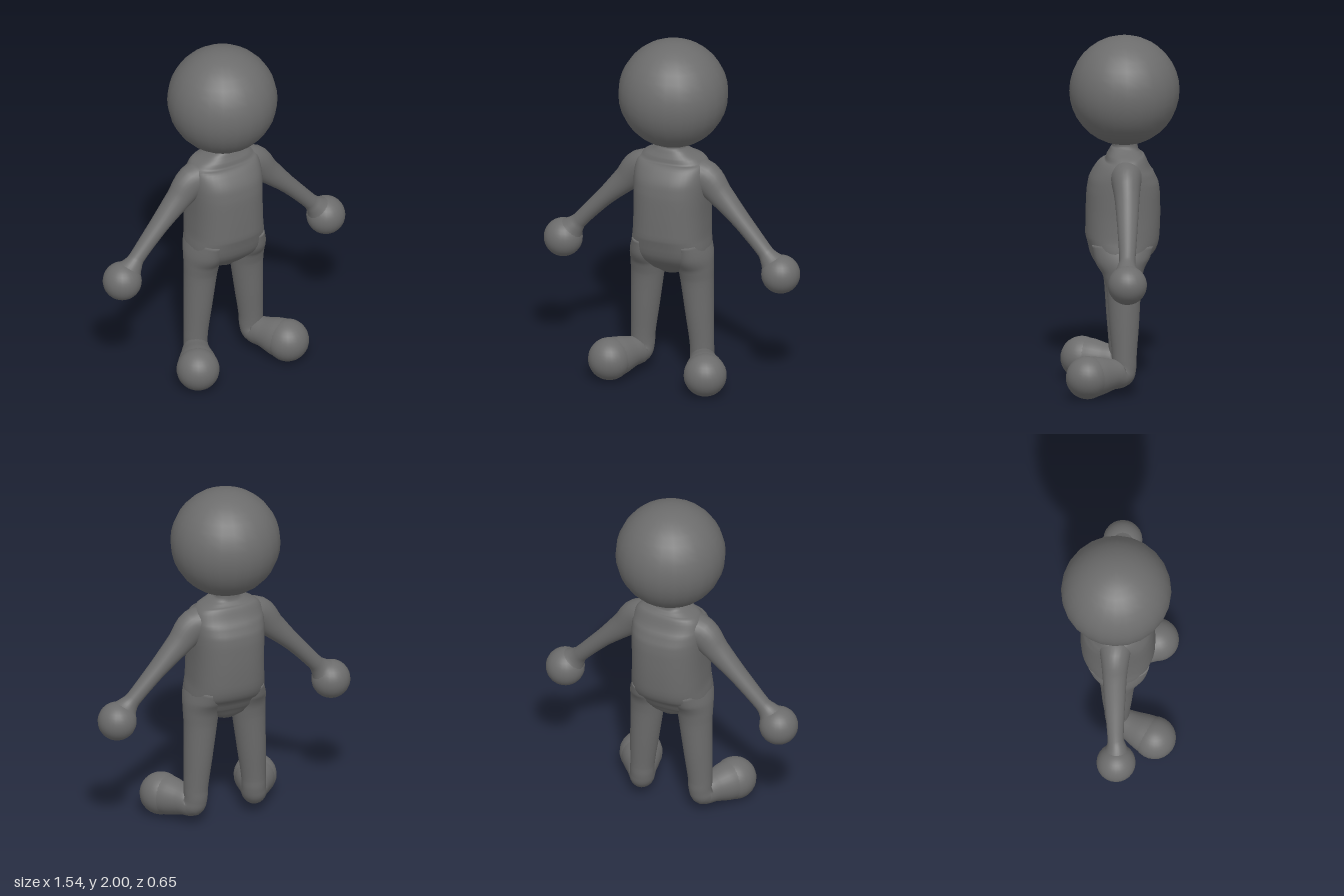
import * as THREE from 'three';

const material = new THREE.MeshStandardMaterial({ color: 0x6c6c6c });

// Smooth skin swept through rows of [x, y, z, radius along ref, radius across].
function sweep(name, rows, ref, { power = 2, steps = 4, sides = 28 } = {}) {
  const path = new THREE.CatmullRomCurve3(rows.map(r => new THREE.Vector3(r[0], r[1], r[2])));
  const size = new THREE.CatmullRomCurve3(rows.map(r => new THREE.Vector3(r[3], r[4], 0)));
  const n = (rows.length - 1) * steps;
  const pos = [], idx = [];
  for (let i = 0; i <= n; i++) {
    const c = path.getPoint(i / n), t = path.getTangent(i / n), s = size.getPoint(i / n);
    const u = ref.clone().addScaledVector(t, -ref.dot(t)).normalize();
    const v = new THREE.Vector3().crossVectors(t, u);
    for (let j = 0; j < sides; j++) {
      const a = j / sides * Math.PI * 2;
      const round = w => Math.sign(w) * Math.pow(Math.abs(w), 2 / power);
      const p = c.clone().addScaledVector(u, round(Math.cos(a)) * s.x)
        .addScaledVector(v, round(Math.sin(a)) * s.y);
      pos.push(p.x, p.y, p.z);
      if (i < n) {
        const k = i * sides + j, l = i * sides + (j + 1) % sides;
        idx.push(k, l, l + sides, k, l + sides, k + sides);
      }
    }
  }
  // end caps
  for (const [ring, flip] of [[0, true], [n, false]]) {
    const c = path.getPoint(ring / n), m = pos.length / 3;
    pos.push(c.x, c.y, c.z);
    for (let j = 0; j < sides; j++) {
      const k = ring * sides + j, l = ring * sides + (j + 1) % sides;
      if (flip) idx.push(m, l, k); else idx.push(m, k, l);
    }
  }
  const g = new THREE.BufferGeometry();
  g.setAttribute('position', new THREE.Float32BufferAttribute(pos, 3));
  g.setIndex(idx);
  g.computeVertexNormals();
  const mesh = new THREE.Mesh(g, material);
  mesh.name = name;
  return mesh;
}

function ball(name, r, x, y, z) {
  const mesh = new THREE.Mesh(new THREE.SphereGeometry(r, 24, 18), material);
  mesh.name = name;
  mesh.position.set(x, y, z);
  return mesh;
}

export function createModel() {
  const model = new THREE.Group();
  model.name = 'figure';
  const X = new THREE.Vector3(1, 0, 0), Z = new THREE.Vector3(0, 0, 1);

  model.add(ball('head', 0.307, 0, 1.693, -0.018));

  // torso and neck: [y, half width, front z, back z]
  const torso = [
    [0.635, 0.05, 0.05, -0.06], [0.665, 0.13, 0.08, -0.09], [0.71, 0.195, 0.12, -0.125],
    [0.78, 0.223, 0.175, -0.17], [0.87, 0.212, 0.2, -0.21], [1.0, 0.208, 0.198, -0.217],
    [1.12, 0.21, 0.193, -0.215], [1.19, 0.212, 0.18, -0.206], [1.25, 0.212, 0.145, -0.18],
    [1.3, 0.2, 0.1, -0.143], [1.33, 0.165, 0.082, -0.12], [1.355, 0.11, 0.065, -0.103],
    [1.38, 0.072, 0.05, -0.092], [1.42, 0.072, 0.05, -0.09],
  ].map(([y, w, f, b]) => [0, y, (f + b) / 2, w, (f - b) / 2]);
  model.add(sweep('torso', torso, X, { power: 2.5, sides: 40 }));

  for (const s of [1, -1]) {
    const side = s > 0 ? 'left' : 'right';
    const mirror = rows => rows.map(([x, ...rest]) => [s * x, ...rest]);

    // arm flaring into the hand
    model.add(sweep(side + 'Arm', mirror([
      [0.08, 1.245, -0.02, 0.12, 0.075], [0.195, 1.215, -0.018, 0.085, 0.097],
      [0.285, 1.127, -0.018, 0.069, 0.073], [0.42, 0.99, -0.013, 0.056, 0.05],
      [0.56, 0.837, -0.005, 0.045, 0.044], [0.595, 0.796, 0, 0.057, 0.06],
      [0.625, 0.76, 0, 0.084, 0.086], [0.655, 0.725, 0, 0.1, 0.1],
    ]), Z));
    model.add(ball(side + 'Hand', 0.109, s * 0.659, 0.718, 0));

    // leg from the hip, bending at the heel into a foot turned outwards
    model.add(sweep(side + 'Leg', mirror([
      [0.135, 0.84, 0, 0.075, 0.17], [0.139, 0.76, 0.002, 0.095, 0.152], [0.144, 0.69, -0.002, 0.098, 0.115],
      [0.149, 0.61, -0.006, 0.093, 0.097], [0.165, 0.4, -0.008, 0.08, 0.083],
      [0.178, 0.22, -0.008, 0.068, 0.069], [0.18, 0.16, -0.007, 0.067, 0.068],
      [0.187, 0.127, 0.007, 0.07, 0.076], [0.22, 0.127, 0.067, 0.084, 0.087],
      [0.256, 0.126, 0.137, 0.105, 0.108], [0.288, 0.125, 0.2, 0.117, 0.117],
    ]), X, { steps: 5 }));
    model.add(ball(side + 'Toe', 0.12, s * 0.29, 0.124, 0.203));
  }
  return model;
}
